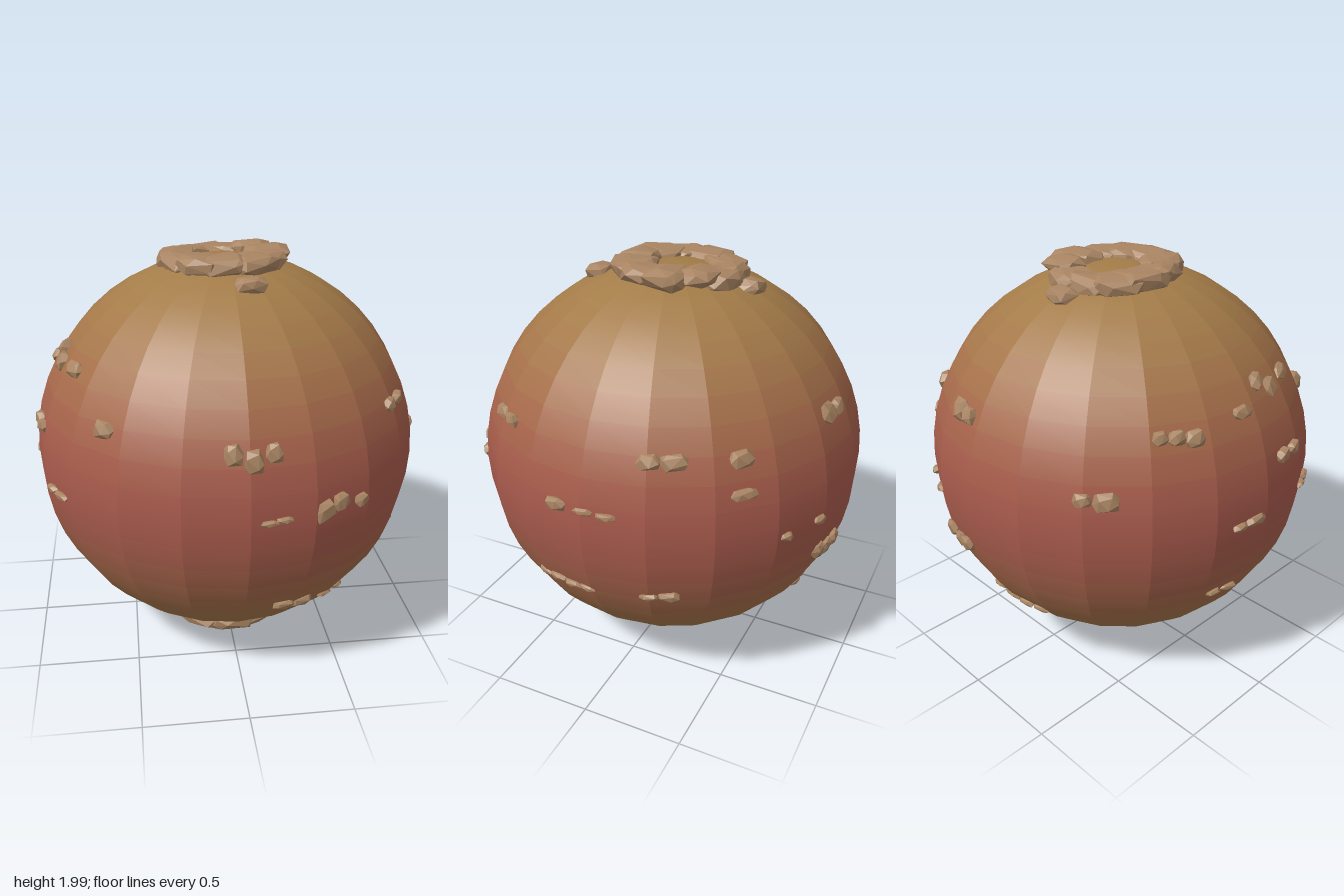
import * as THREE from 'three';
import { ConvexGeometry } from 'three/addons/geometries/ConvexGeometry.js';

const R = 0.955, CY = 1.005, SIDES = 20, BANDS = 24;
const rockMat = new THREE.MeshStandardMaterial({ color: 0xa88462, flatShading: true });
const rad = THREE.MathUtils.degToRad;

let seed = 7;
function rand() {
  seed = (seed * 16807) % 2147483647;
  return seed / 2147483647;
}

// Faceted boulder: hull of jittered points on a squarish ellipsoid
function rock(name, rx, ry, rz, count) {
  const pts = [];
  for (let i = 0; i < count; i++) {
    const h = 1 - (2 * (i + 0.5)) / count, a = i * 2.4 + rand() * 0.5;
    const s = Math.sqrt(1 - h * h), k = 0.86 + rand() * 0.22;
    const soft = (v) => Math.sign(v) * Math.pow(Math.abs(v), 0.75) * k;
    pts.push(new THREE.Vector3(soft(s * Math.cos(a)) * rx, soft(h) * ry, soft(s * Math.sin(a)) * rz));
  }
  const mesh = new THREE.Mesh(new ConvexGeometry(pts), rockMat);
  mesh.name = name;
  return mesh;
}

// One latitude band: flat around the axis, smooth from pole to pole
function bodyBand(i) {
  const point = (j) => {
    const lat = (j / BANDS - 0.5) * Math.PI;
    return new THREE.Vector2(Math.max(R * Math.cos(lat), 0.0001), R * Math.sin(lat));
  };
  const geo = new THREE.LatheGeometry([point(i), point(i + 1)], SIDES).toNonIndexed();
  const pos = geo.attributes.position, nor = geo.attributes.normal;
  const step = (2 * Math.PI) / SIDES;
  for (let t = 0; t < pos.count; t += 3) {
    let cx = 0, cz = 0;
    for (let k = t; k < t + 3; k++) { cx += pos.getX(k); cz += pos.getZ(k); }
    const a = (Math.floor(Math.atan2(cx, cz) / step) + 0.5) * step;
    for (let k = t; k < t + 3; k++) {
      const sy = THREE.MathUtils.clamp(pos.getY(k) / R, -1, 1), c = Math.sqrt(1 - sy * sy);
      nor.setXYZ(k, c * Math.sin(a), sy, c * Math.cos(a));
    }
  }
  // Red equator fading to ochre poles
  const h = Math.abs(Math.sin(((i + 0.5) / BANDS - 0.5) * Math.PI));
  const color = new THREE.Color(0xa85a4c).lerp(new THREE.Color(0xa37c48), THREE.MathUtils.smoothstep(h, 0.05, 0.95));
  const mesh = new THREE.Mesh(geo, new THREE.MeshStandardMaterial({ color }));
  mesh.name = 'bodyBand';
  mesh.position.y = CY;
  return mesh;
}

// Rows of small rocks: azimuth in degrees from the front, height, width, thickness
const FRONT = [
  [-43, 1.35, 0.11, 0.09], [1, 1.3, 0.26, 0.12], [56, 1.37, 0.2, 0.08], [23, 1.03, 0.17, 0.11],
  [33, 1.02, 0.07, 0.07], [7, 1.01, 0.14, 0.03], [18, 0.45, 0.21, 0.055], [38, 0.41, 0.19, 0.03],
];
const LEFT = [
  [112, 1.36, 0.21, 0.075], [134, 1.35, 0.11, 0.09], [134, 1.2, 0.12, 0.06], [82, 1.1, 0.1, 0.07],
  [94, 1.1, 0.22, 0.04], [80, 0.64, 0.35, 0.03], [111, 0.67, 0.18, 0.045],
];
const BACK = [
  [172, 1.4, 0.18, 0.1], [147, 0.94, 0.06, 0.045], [160, 0.95, 0.07, 0.045],
  [168, 0.73, 0.23, 0.09], [183, 0.41, 0.4, 0.04], [219, 1.2, 0.2, 0.08],
];
const RIGHT = [
  [-118, 1.42, 0.23, 0.08], [-81, 1.53, 0.18, 0.12], [-66, 1.52, 0.12, 0.08], [-95, 1.47, 0.1, 0.07],
  [-78, 1.21, 0.2, 0.08], [-63, 0.95, 0.2, 0.045], [-97, 0.98, 0.2, 0.045], [-100, 0.57, 0.2, 0.045],
];

// Each rock of a row sits half sunk in the globe
function rockRow([azimuth, y, w, h]) {
  const g = new THREE.Group();
  g.name = 'surfaceRocks';
  const n = Math.max(1, Math.round(w / 0.09));
  for (let i = 0; i < n; i++) {
    const size = n > 1 ? 0.8 + 0.4 * rand() : 1;
    const ry = y - CY + (n > 1 ? (rand() - 0.5) * h * 0.4 : 0);
    const ring = Math.sqrt(R * R - ry * ry);
    const a = rad(azimuth) + (((i + 0.5) / n - 0.5) * w) / ring;
    const dir = new THREE.Vector3(ring * Math.sin(a), ry, ring * Math.cos(a)).normalize();
    const r = rock('smallRock', (w / n) * 0.55 * size, h * 0.5 * size, Math.min(0.035, 0.014 + h * 0.25), 16);
    r.position.copy(dir).multiplyScalar(0.948);
    r.position.y += CY;
    r.lookAt(r.position.clone().add(dir));
    g.add(r);
  }
  return g;
}

// Broken ring of slabs around a pole, with a few extra boulders [x, y, z, half width, half height]
function cap({ name, from, to, count, radius, y, half, cz, slope, extra }) {
  const g = new THREE.Group();
  g.name = name;
  for (let i = 0; i < count; i++) {
    const a = rad(from + ((to - from) * i) / (count - 1));
    const r = rock('capSlab', 0.14, half, 0.1 + 0.03 * rand(), 26);
    const z = cz + radius * Math.cos(a);
    r.position.set(radius * Math.sin(a), y + slope * z, z);
    r.rotation.y = a;
    g.add(r);
  }
  for (const [x, ey, z, w, h] of extra) {
    const r = rock('capBoulder', w, h, w * 0.85, 22);
    r.position.set(x, ey, z);
    g.add(r);
  }
  return g;
}

export function createModel() {
  seed = 7;
  const model = new THREE.Group();
  model.name = 'rockyGlobe';
  const body = new THREE.Group();
  body.name = 'body';
  for (let i = 0; i < BANDS; i++) body.add(bodyBand(i));
  model.add(body);

  // C-shaped crown, open towards the left
  model.add(cap({
    name: 'topCap', from: 60, to: -195, count: 9, radius: 0.22, y: 1.935, half: 0.05, cz: -0.04, slope: 0.07,
    extra: [[0.16, 1.95, -0.2, 0.11, 0.045], [0.22, 1.945, -0.07, 0.13, 0.055],
      [0.08, 1.89, 0.35, 0.08, 0.04], [-0.02, 1.88, -0.38, 0.08, 0.04]],
  }));
  // Closed foot, lower at the front
  model.add(cap({
    name: 'bottomCap', from: 0, to: 324, count: 10, radius: 0.24, y: 0.085, half: 0.055, cz: 0.03, slope: -0.09,
    extra: [[0.06, 0.055, 0.05, 0.17, 0.05], [-0.23, 0.12, 0.17, 0.1, 0.055], [-0.07, 0.09, -0.2, 0.1, 0.055]],
  }));
  for (const side of [FRONT, LEFT, BACK, RIGHT]) for (const row of side) model.add(rockRow(row));
  return model;
}
